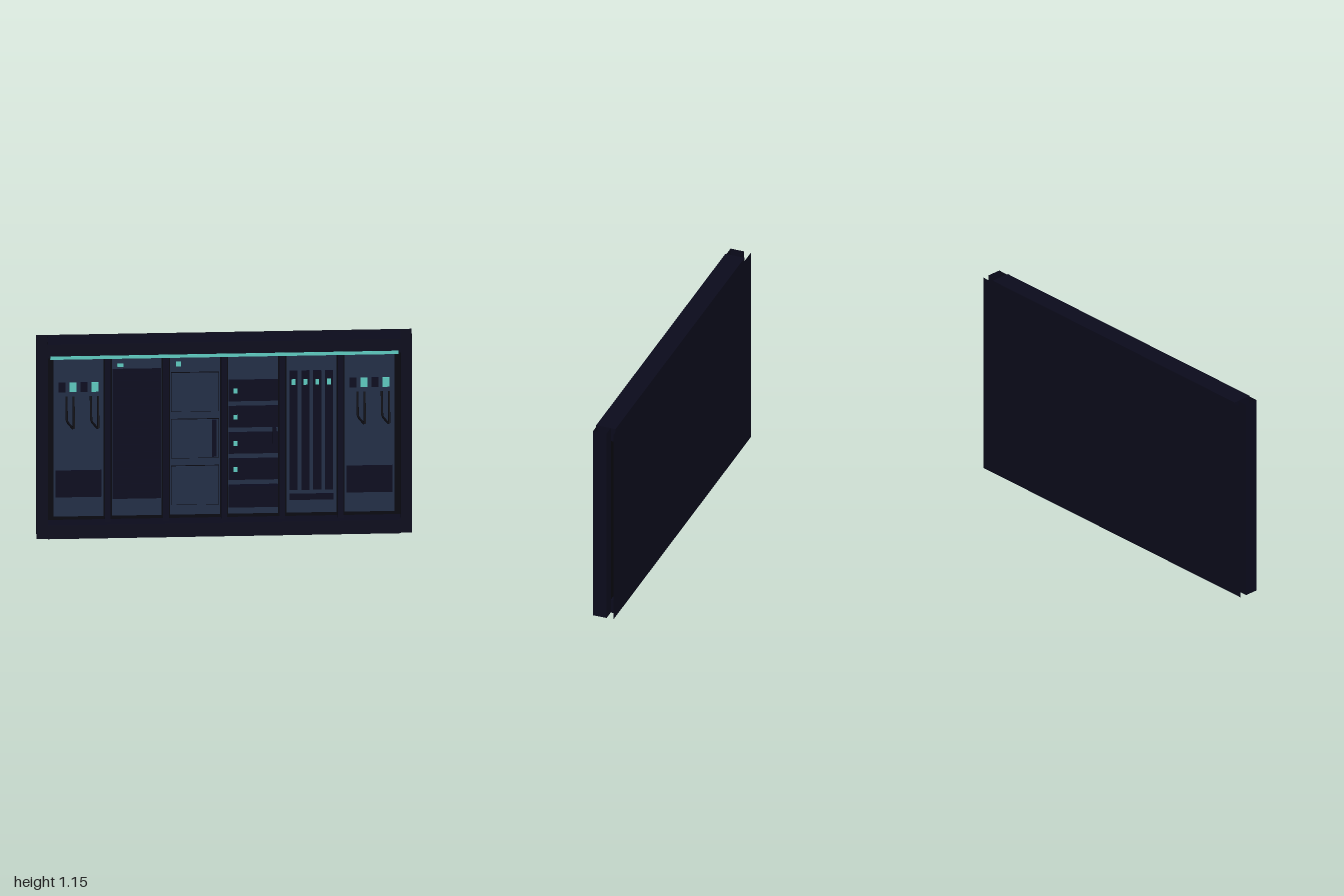
import * as THREE from 'three';

const mat = (name, color, side = THREE.FrontSide) => {
  const m = new THREE.MeshStandardMaterial({ color, side });
  m.name = name;
  return m;
};

export function createModel() {
  const root = new THREE.Group();
  root.name = 'rackWall';
  const frame = mat('frameNavy', 0x0b0b1c, THREE.DoubleSide);
  const panel = mat('bayBlueGrey', 0x222e46);
  const dark = mat('insetNavy', 0x0b0b1e);
  const black = mat('trimBlack', 0x07070f);
  const teal = mat('lightTeal', 0x5ecbc0);

  // Box given by its centre, size, and back and front depth
  const box = (parent, name, m, x, y, w, h, z0, z1) => {
    const mesh = new THREE.Mesh(new THREE.BoxGeometry(w, h, z1 - z0), m);
    mesh.position.set(x, y, (z0 + z1) / 2);
    mesh.name = name;
    parent.add(mesh);
    return mesh;
  };

  // Outer shell: back sheet, inner wall, beams and open-ended posts
  const back = new THREE.Mesh(new THREE.PlaneGeometry(2, 1.15), frame);
  back.rotation.y = Math.PI;
  back.position.set(0, 0.575, -0.064);
  back.name = 'backSheet';
  root.add(back);
  box(root, 'innerWall', black, 0, 0.575, 1.88, 1.0, -0.025, -0.012);
  box(root, 'bottomBeam', frame, 0, 0.04, 1.88, 0.08, -0.052, 0.058);
  box(root, 'topBeam', frame, 0, 1.11, 1.88, 0.08, -0.052, 0.058);
  box(root, 'lightStrip', teal, 0, 1.0715, 1.856, 0.019, 0.045, 0.06);
  for (const s of [-1, 1]) {
    const post = box(root, 'sidePost', frame, s * 0.97, 0.575, 0.06, 1.15, -0.025, 0.052);
    const idx = Array.from(post.geometry.index.array);
    post.geometry.setIndex([...idx.slice(0, 12), ...idx.slice(24)]);
    post.geometry.clearGroups();
  }

  // Dividers between the six bays
  for (let i = -2; i <= 2; i++) box(root, 'divider', dark, i * 0.31, 0.575, 0.03, 0.99, -0.012, 0.018);

  // Bay with a thin dark surround and a face panel
  const bay = (name, i) => {
    const g = new THREE.Group();
    g.name = name;
    g.position.x = (i - 2.5) * 0.31;
    box(g, 'baySurround', black, 0, 0.5765, 0.28, 0.96, -0.012, -0.004);
    box(g, 'bayPanel', panel, 0, 0.5765, 0.266, 0.943, -0.01, 0);
    root.add(g);
    return g;
  };

  // Patch bays at both ends: sockets, hanging cable loops and a drawer
  for (const i of [0, 5]) {
    const g = bay('patchBay', i);
    [-0.088, -0.029, 0.029, 0.088].forEach((x, k) =>
      box(g, 'socket', k % 2 ? teal : dark, x, 0.871, 0.037, 0.054, 0, 0.008));
    for (const x of [-0.065, 0.065]) {
      const path = new THREE.CatmullRomCurve3([
        new THREE.Vector3(x, 0.82, 0.008),
        new THREE.Vector3(x, 0.695, 0.058),
        new THREE.Vector3(x + 0.038, 0.643, 0.053),
        new THREE.Vector3(x + 0.038, 0.82, 0.008),
      ], false, 'catmullrom', 0);
      const cable = new THREE.Mesh(new THREE.TubeGeometry(path, 24, 0.006, 6), black);
      cable.name = 'cableLoop';
      g.add(cable);
    }
    box(g, 'drawer', dark, 0, 0.3, 0.246, 0.156, 0, 0.008);
  }

  // Vent bay: louvred grille
  const vent = bay('ventBay', 1);
  box(vent, 'statusLight', teal, -0.088, 0.997, 0.032, 0.018, 0, 0.006);
  box(vent, 'grille', dark, 0, 0.59, 0.26, 0.767, 0, 0.006);
  for (let k = 0; k < 16; k++) box(vent, 'louvre', dark, 0, 0.238 + k * 0.047, 0.245, 0.02, 0.006, 0.011);

  // Cabinet bay: three doors and a pull handle
  const cabinet = bay('cabinetBay', 2);
  box(cabinet, 'statusLight', teal, -0.088, 0.997, 0.026, 0.026, 0, 0.006);
  for (const y of [0.831, 0.555, 0.279]) {
    box(cabinet, 'doorEdge', black, 0, y, 0.256, 0.234, 0, 0.002);
    box(cabinet, 'door', panel, 0, y, 0.248, 0.226, 0.001, 0.006);
  }
  box(cabinet, 'doorHandle', dark, 0.102, 0.5625, 0.024, 0.209, 0.006, 0.03);

  // Drawer bay: five units, the lowest one pulled further out
  const drawers = bay('drawerBay', 3);
  for (let k = 0; k < 5; k++) {
    const y = 0.836 - k * 0.155;
    const z = k === 4 ? 0.028 : 0.01;
    box(drawers, 'unit', dark, 0, y, 0.262, 0.124, 0, z);
    if (k < 4) box(drawers, 'unitLight', teal, -0.094, y, 0.022, 0.027, z, z + 0.004);
  }
  box(drawers, 'unitHandle', dark, 0.113, 0.57, 0.018, 0.1, 0, 0.03);

  // Blade bay: four tall blades above a tray
  const blades = bay('bladeBay', 4);
  for (const x of [-0.096, -0.032, 0.031, 0.094]) {
    box(blades, 'blade', dark, x, 0.595, 0.043, 0.702, 0, 0.012);
    box(blades, 'bladeLight', teal, x, 0.884, 0.021, 0.032, 0.012, 0.016);
  }
  box(blades, 'tray', dark, 0, 0.201, 0.235, 0.032, 0, 0.012);

  return root;
}
